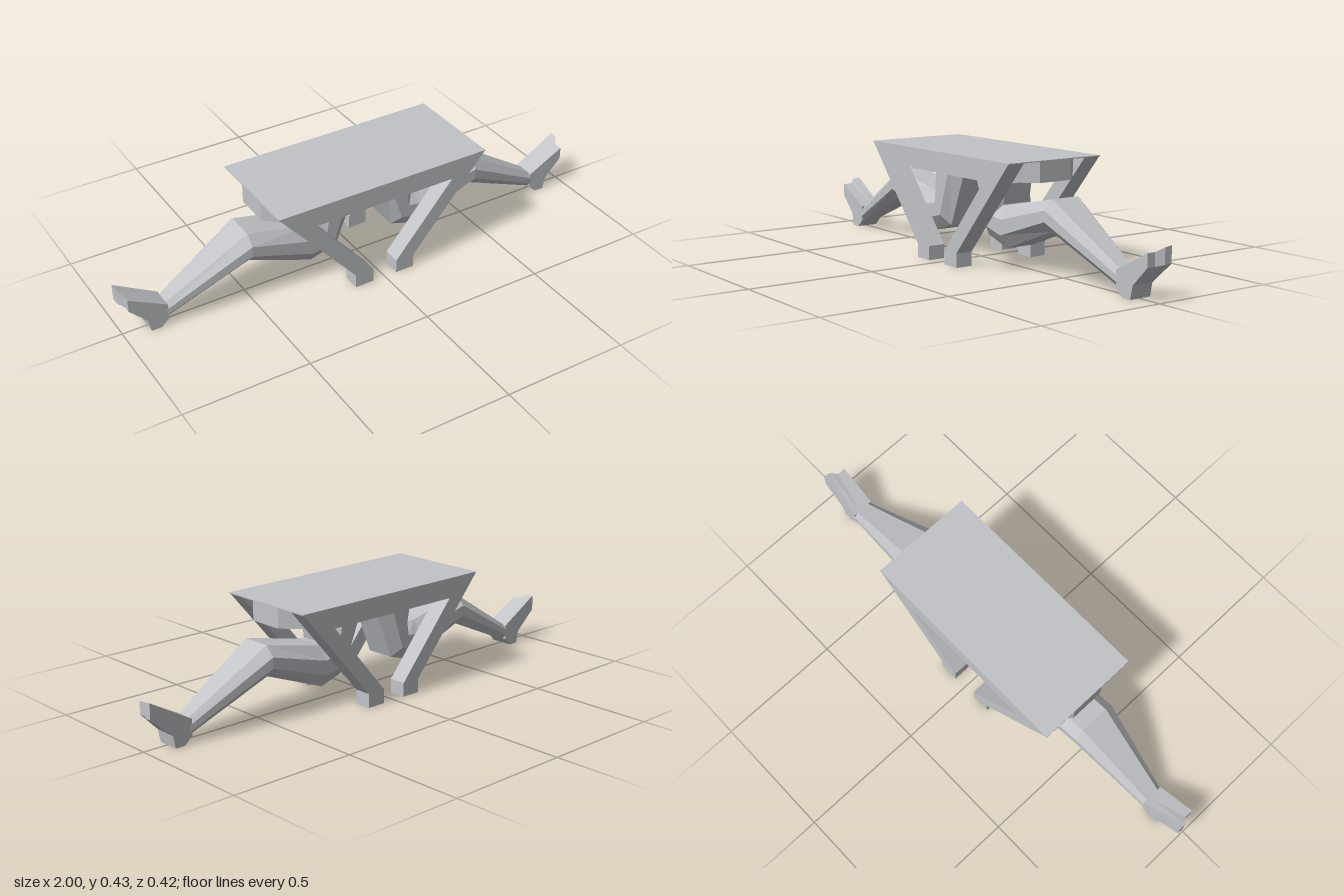
import * as THREE from 'three';

const grey = new THREE.MeshStandardMaterial({ color: 0xc2c3c7 });
grey.name = 'plain grey';

// Closed faceted solid through a list of equal-length point loops, ends capped by fans
function loft(rings) {
  const tris = [];
  const n = rings[0].length;
  for (let r = 0; r < rings.length - 1; r++) {
    for (let i = 0; i < n; i++) {
      const j = (i + 1) % n;
      const a = rings[r][i], b = rings[r][j], c = rings[r + 1][j], d = rings[r + 1][i];
      tris.push([a, b, c], [a, c, d]);
    }
  }
  const first = rings[0], last = rings[rings.length - 1];
  for (let i = 1; i < n - 1; i++) {
    tris.push([first[0], first[i + 1], first[i]], [last[0], last[i], last[i + 1]]);
  }
  // the sign of the volume tells whether the faces point inwards
  let volume = 0;
  for (const [a, b, c] of tris) volume += a.dot(b.clone().cross(c));
  if (volume < 0) tris.forEach((t) => t.reverse());
  const geo = new THREE.BufferGeometry().setFromPoints(tris.flat());
  geo.computeVertexNormals();
  return geo;
}

function add(group, name, geo) {
  const mesh = new THREE.Mesh(geo, grey);
  mesh.name = name;
  group.add(mesh);
  return mesh;
}

const shapeOf = (pts) => new THREE.Shape(pts.map(([x, y]) => new THREE.Vector2(x, y)));
const extrude = (pts, depth) =>
  new THREE.ExtrudeGeometry(shapeOf(pts), { depth, bevelEnabled: false });

// Eight-sided limb section between an upper and a lower point; flat and side are half widths
const ZC = -0.005;
function section(s, [ox, oy], [ix, iy], flat, side) {
  const at = (t, z) => new THREE.Vector3(s * (ox + (ix - ox) * t), oy + (iy - oy) * t, ZC + z);
  return [
    at(0, -flat), at(0, flat), at(0.32, side), at(0.68, side),
    at(1, flat), at(1, -flat), at(0.68, -side), at(0.32, -side),
  ];
}

export function createModel() {
  const model = new THREE.Group();

  // Table top: thin sheet over a core with cut corners
  const table = new THREE.Group();
  table.name = 'table';
  model.add(table);
  add(table, 'topSheet', new THREE.BoxGeometry(0.9, 0.004, 0.42)).position.y = 0.423;
  const core = extrude([
    [0.45, -0.07], [0.45, 0.07], [0.38, 0.14], [-0.38, 0.14],
    [-0.45, 0.07], [-0.45, -0.07], [-0.38, -0.14], [0.38, -0.14],
  ], 0.076);
  core.rotateX(-Math.PI / 2);
  add(table, 'topCore', core).position.y = 0.345;

  // Front and back frames: a beam with two legs slanting inwards
  const half = [[0.45, 0.425], [0.13, 0.055], [0.13, 0], [0.052, 0], [0.052, 0.055], [0.3, 0.345]];
  const outline = [...half, ...half.map(([x, y]) => [-x, y]).reverse()];
  for (const [name, z] of [['frontFrame', 0.14], ['backFrame', -0.21]]) {
    add(table, name, extrude(outline, 0.07)).position.z = z;
  }

  // Bent limbs, mirrored left and right
  for (const s of [1, -1]) {
    const limb = new THREE.Group();
    limb.name = s > 0 ? 'leftLimb' : 'rightLimb';
    model.add(limb);

    // hip, low bend, knee and ankle
    add(limb, 'leg', loft([
      section(s, [0.23, 0.315], [0.005, 0.41], 0.06, 0.096),
      section(s, [0.215, 0.235], [0.125, 0.11], 0.06, 0.096),
      section(s, [0.25, 0.238], [0.24, 0.075], 0.06, 0.096),
      section(s, [0.5, 0.292], [0.5, 0.175], 0.06, 0.096),
      section(s, [0.835, 0.09], [0.835, 0.025], 0.028, 0.045),
    ]));

    // foot with a raised toe, stepped across its width
    const profile = (z, tipX, drop) => [
      [0.91, 0.05], [tipX, 0.13 - drop * 0.4], [tipX, 0.192 - drop], [0.828, 0.092],
      [0.828, 0.03], [0.86, 0], [0.9, 0],
    ].map(([x, y]) => new THREE.Vector3(s * x, y, z));
    add(limb, 'foot', loft([
      profile(0.04, 0.98, 0.02), profile(0.006, 0.98, 0.02),
      profile(-0.02, 1, 0.004), profile(-0.05, 1, 0),
    ]));
  }
  return model;
}
